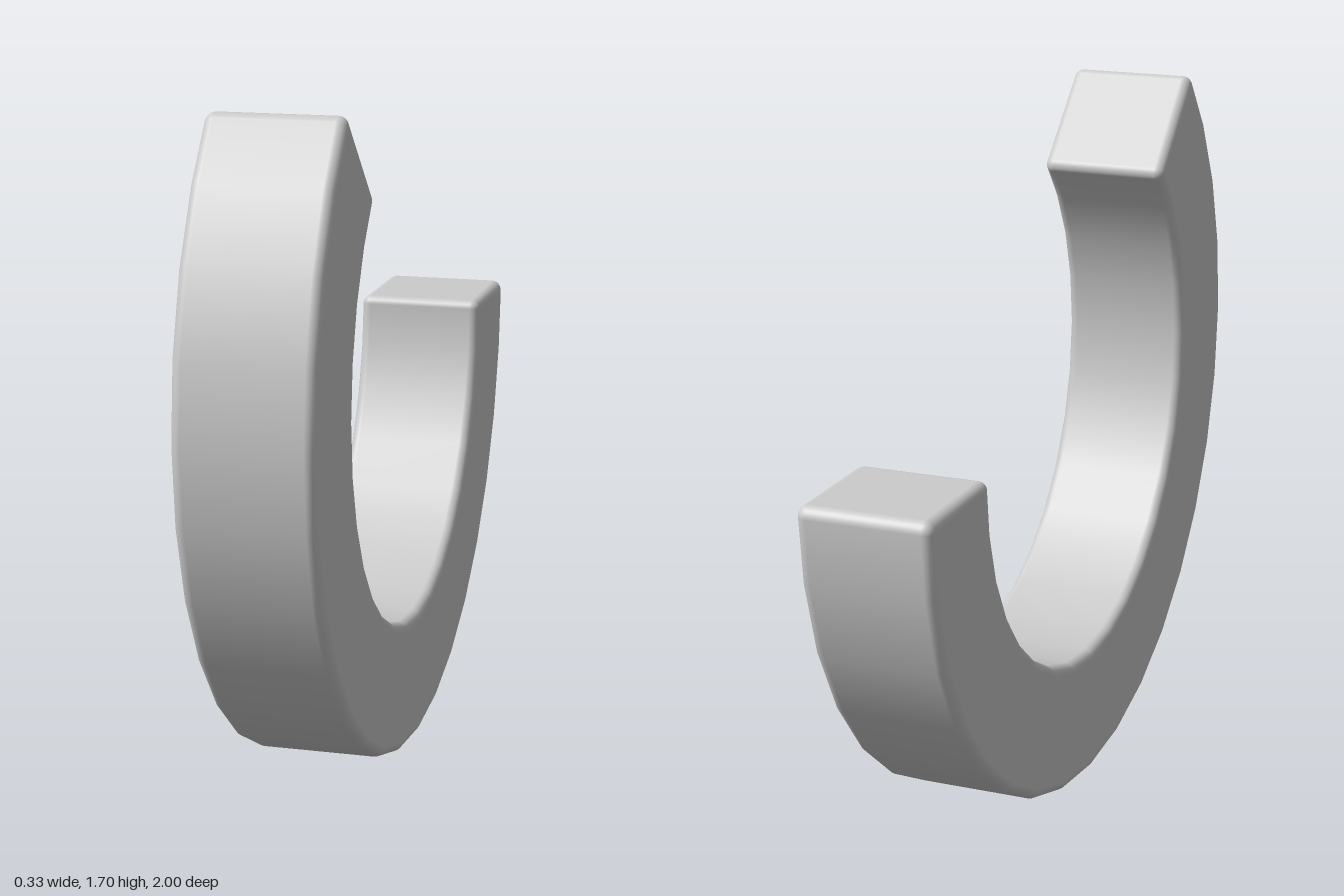
import * as THREE from 'three';

const INNER = 0.67, OUTER = 1, WIDTH = 0.33, EDGE = 0.025;
const SWEEP = THREE.MathUtils.degToRad(225);
const MIDDLE = THREE.MathUtils.degToRad(22.5); // centre of the arc, measured from straight down
const STEPS = 20, ROUND = 4;

// Grid positions along one axis of a rounded bar: rounded end, even steps, rounded end
function stations(half, steps) {
  const core = half - EDGE, list = [];
  for (let i = 0; i <= steps; i++) {
    list.push(THREE.MathUtils.clamp((2 * i / steps - 1) * half, -core, core));
  }
  for (let k = 1; k <= ROUND; k++) {
    const end = core + EDGE * Math.tan(k / ROUND * Math.PI / 4);
    list.push(end);
    list.unshift(-end);
  }
  return list;
}

// A box with rounded edges, bent along a circular arc in the y-z plane
function bentBar() {
  const radius = (INNER + OUTER) / 2;
  const half = [WIDTH / 2, (OUTER - INNER) / 2, radius * SWEEP / 2];
  const grid = [stations(half[0], 1), stations(half[1], 1), stations(half[2], STEPS)];
  const segments = grid.map(list => list.length - 1);
  const geometry = new THREE.BoxGeometry(1, 1, 1, ...segments);
  const { position, normal } = geometry.attributes;
  const limit = new THREE.Vector3(...half).subScalar(EDGE);
  const p = new THREE.Vector3(), n = new THREE.Vector3(), core = new THREE.Vector3();

  for (let i = 0; i < position.count; i++) {
    // Straight bar with rounded edges
    p.fromBufferAttribute(position, i);
    p.fromArray(p.toArray().map((v, a) => grid[a][Math.round((v + 0.5) * segments[a])]));
    core.copy(p).clamp(limit.clone().negate(), limit);
    n.subVectors(p, core).normalize();
    p.copy(core).addScaledVector(n, EDGE);

    // Bend: the bar's y points to the centre, its z runs along the arc
    const angle = MIDDLE + p.z / radius, rho = radius - p.y;
    const c = Math.cos(angle), s = Math.sin(angle);
    position.setXYZ(i, p.x, OUTER - rho * c, rho * s);
    normal.setXYZ(i, n.x, n.y * c + n.z * s, -n.y * s + n.z * c);
  }
  return geometry;
}

export function createModel() {
  const group = new THREE.Group();
  group.name = 'openRing';
  const arc = new THREE.Mesh(bentBar(), new THREE.MeshStandardMaterial({ color: 0xcccccc }));
  arc.name = 'curvedBar';
  group.add(arc);
  return group;
}
